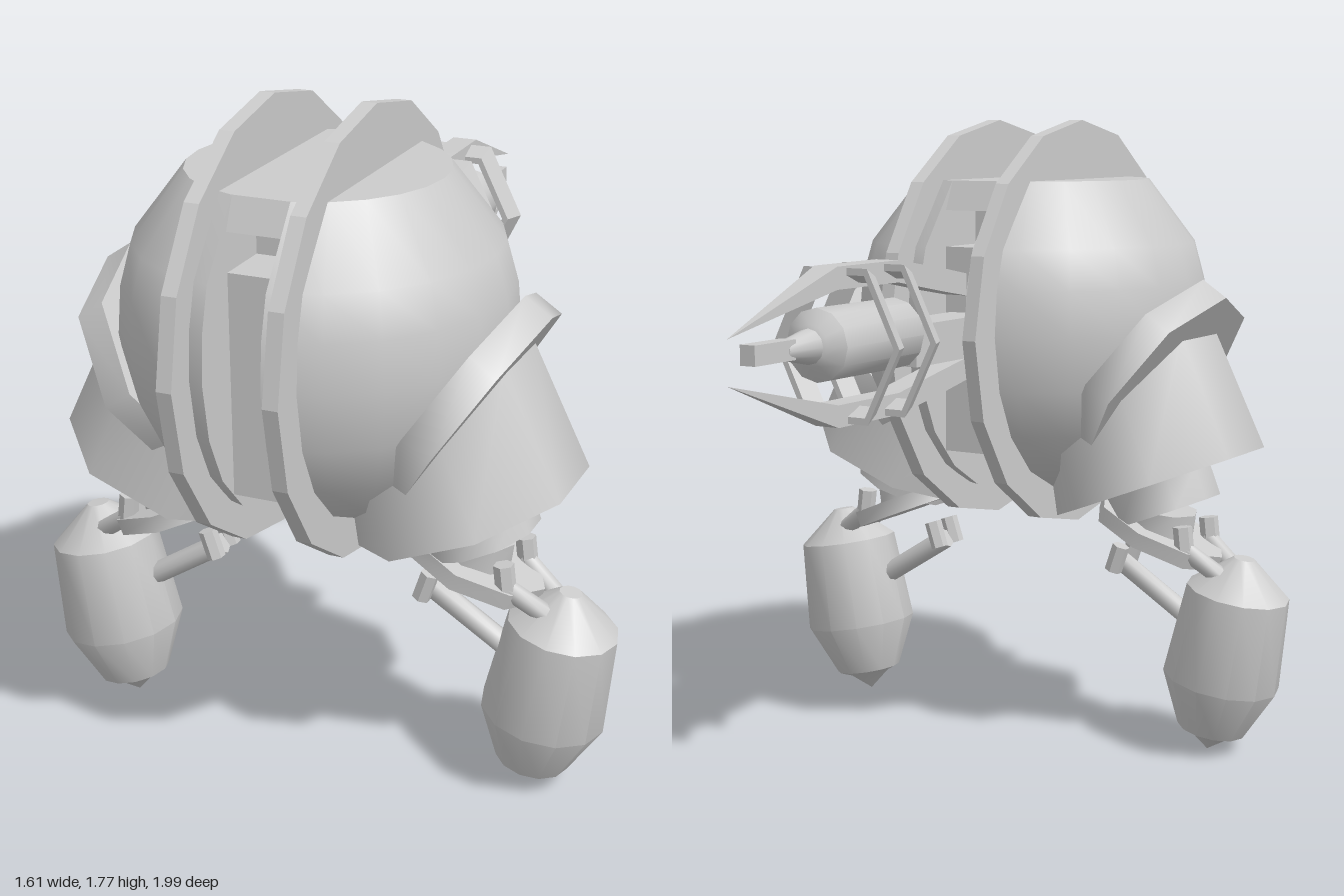
import * as THREE from 'three';
import { toCreasedNormals } from 'three/addons/utils/BufferGeometryUtils.js';

const grey = new THREE.MeshStandardMaterial({ color: 0xcccccc });
const thin = new THREE.MeshStandardMaterial({ color: 0xcccccc, side: THREE.DoubleSide });
const CZ = 0.425; // z of the body centre

function part(name, geo, parent, mat = grey, crease = 0.7) {
  const mesh = new THREE.Mesh(toCreasedNormals(geo, crease), mat);
  mesh.name = name;
  parent.add(mesh);
  return mesh;
}

// Cylinder running between two points, radius ra at a and rb at b
function span(name, parent, a, b, ra, rb, sides, phase = 0, zScale = 1) {
  const p = new THREE.Vector3(...a), q = new THREE.Vector3(...b);
  const dir = q.clone().sub(p);
  const geo = new THREE.CylinderGeometry(rb, ra, dir.length(), sides, 1, false, phase);
  const mesh = part(name, geo.scale(1, 1, zScale), parent, grey, 0.9);
  mesh.position.copy(p).add(q).multiplyScalar(0.5);
  mesh.quaternion.setFromUnitVectors(new THREE.Vector3(0, 1, 0), dir.normalize());
  return mesh;
}

const shapeOf = pts => new THREE.Shape(pts.map(p => new THREE.Vector2(...p)));

// Outline given in (z, y), extruded evenly to both sides of x = 0
function slab(pts, width) {
  return new THREE.ExtrudeGeometry(shapeOf(pts), { depth: width, bevelEnabled: false })
    .translate(0, 0, -width / 2).rotateY(-Math.PI / 2);
}

// Body half: flat-topped globe cut off at the central slot
const SLOT = 0.075;
const globe = [[0.09, 0.7], [0.2, 0.737], [0.32, 0.81], [0.42, 0.92], [0.48, 1.05],
  [0.505, 1.2], [0.495, 1.325], [0.465, 1.433], [0.33, 1.61]];

function bodyHalf() {
  const half = new THREE.Group();
  half.name = 'bodyHalf';
  const pts = [[SLOT, 0.7], ...globe, [SLOT, 1.61]].map(p => new THREE.Vector2(...p));
  const geo = new THREE.LatheGeometry(pts, 10, 0, Math.PI);
  const pos = geo.attributes.position;
  for (let i = 0; i < pos.count; i++) {
    const x = pos.getX(i), z = pos.getZ(i), r = Math.hypot(x, z);
    const a = Math.atan2(z, x) * Math.acos(Math.min(1, SLOT / r)) / (Math.PI / 2);
    pos.setXYZ(i, r * Math.cos(a), pos.getY(i), r * Math.sin(a));
  }
  part('shell', geo, half);
  const edge = globe.map(([r, y]) => [Math.sqrt(r * r - SLOT * SLOT), y]);
  const wall = [...edge, ...edge.map(([z, y]) => [-z, y]).reverse()];
  part('slotWall', new THREE.ShapeGeometry(shapeOf(wall)).rotateY(-Math.PI / 2), half, thin)
    .position.x = SLOT;
  // Large rim disc
  const disc = new THREE.CylinderGeometry(0.575, 0.575, 0.04, 16).rotateZ(Math.PI / 2);
  part('rimDisc', disc, half, grey, 0.3).position.set(0.135, 1.2, 0);
  return half;
}

function makeLeg() {
  const leg = new THREE.Group();
  leg.name = 'leg';
  // Shoulder collar, thigh, ankle and ankle plate
  span('shoulderCollar', leg, [0.36, 1.075, 0], [0.43, 1.028, 0], 0.32, 0.32, 8, 0, 1.08);
  span('thigh', leg, [0.285, 1.09, 0], [0.415, 0.763, 0], 0.285, 0.31, 8, Math.PI / 8);
  span('ankle', leg, [0.41, 0.77, 0], [0.445, 0.682, 0], 0.155, 0.155, 10);
  span('ankleNeck', leg, [0.43, 0.69, 0], [0.42, 0.62, 0], 0.1, 0.1, 8);
  span('anklePlate', leg, [0.428, 0.642, 0], [0.411, 0.6, 0], 0.2, 0.2, 8, 0, 0.77);
  // Long inner strut between two lugs, and two short outer struts
  span('longStrut', leg, [0.3, 0.52, 0], [0.56, 0.355, 0], 0.03, 0.03, 8);
  for (const s of [-1, 1]) {
    span('strutLug', leg, [0.32, 0.575, s * 0.045], [0.295, 0.5, s * 0.045], 0.025, 0.025, 6);
    span('outerLug', leg, [0.53, 0.66, s * 0.085], [0.54, 0.575, s * 0.085], 0.027, 0.027, 6);
    span('shortStrut', leg, [0.53, 0.6, s * 0.085], [0.64, 0.52, s * 0.05], 0.026, 0.026, 8);
  }
  // Barrel foot with a pointed tip
  const profile = [[0, -0.215], [0.06, -0.165], [0.097, -0.15], [0.165, 0], [0.145, 0.263],
    [0.03, 0.36], [0, 0.36]].map(p => new THREE.Vector2(...p));
  const foot = part('foot', new THREE.LatheGeometry(profile, 12), leg, grey, 0.55);
  foot.position.set(0.618, 0.218, 0);
  foot.rotation.z = -0.178;
  return leg;
}

function makeTail() {
  const tail = new THREE.Group();
  tail.name = 'tail';
  const Y = 1.22;
  part('tailBeam', new THREE.BoxGeometry(0.12, 0.11, 0.37), tail).position.set(0, 1.195, -0.1);
  // Barrel narrowing to a square rod
  const barrel = [[0, 0.25], [0.06, 0.26], [0.093, 0.3], [0.093, 0.64], [0.055, 0.67],
    [0.045, 0.675], [0.024, 0.78], [0, 0.78]].map(p => new THREE.Vector2(...p));
  part('tailBarrel', new THREE.LatheGeometry(barrel, 12).rotateX(-Math.PI / 2), tail)
    .position.y = 1.228;
  part('tailRod', new THREE.BoxGeometry(0.044, 0.05, 0.16), tail).position.set(0, 1.23, -0.835);
  // Upper and lower blades, thinning to a point
  for (const s of [1, -1]) {
    const outline = [[0, 0.145], [-0.12, 0.167], [-0.33, 0.2], [-0.6, 0.2], [-0.99, 0.055],
      [-0.6, 0.143], [-0.33, 0.143], [-0.12, 0.105], [0, 0.085]];
    const geo = slab(outline.map(([z, y]) => [z, Y + s * y]), 0.07);
    const pos = geo.attributes.position;
    for (let i = 0; i < pos.count; i++) {
      pos.setX(i, pos.getX(i) * THREE.MathUtils.clamp((pos.getZ(i) + 0.99) / 0.39, 0.02, 1));
    }
    part(s > 0 ? 'upperBlade' : 'lowerBlade', geo, tail, grey, 0.3);
  }
  // Flared six-sided hoops
  const hoop = [[0.195, 0], [0.22, 0.053], [0.2, 0.053], [0.175, 0], [0.195, 0]]
    .map(p => new THREE.Vector2(...p));
  for (const z of [-0.343, -0.508]) {
    const geo = new THREE.LatheGeometry(hoop, 6).rotateY(Math.PI / 6)
      .rotateX(-Math.PI / 2).scale(0.87, 1.02, 1);
    part('tailHoop', geo, tail, thin, 0.3).position.set(0, Y, z);
  }
  return tail;
}

export function createModel() {
  const model = new THREE.Group();
  model.name = 'walker';
  // Both sides are the same half turned about the vertical axis
  for (const [name, turn] of [['leftSide', 0], ['rightSide', Math.PI]]) {
    const side = new THREE.Group();
    side.name = name;
    side.add(bodyHalf(), makeLeg());
    side.position.z = CZ;
    side.rotation.y = turn;
    model.add(side);
  }
  // Core in the slot, with a recess under the top bridge
  const edge = [[0.355, 0.86], [0.355, 1.43], [0.2, 1.43], [0.2, 1.53], [0.355, 1.53], [0.32, 1.61]];
  const core = [...edge, ...edge.map(([z, y]) => [-z, y]).reverse()];
  part('core', slab(core, 2 * SLOT), model, grey, 0.3).position.z = CZ;
  model.add(makeTail());
  return model;
}
